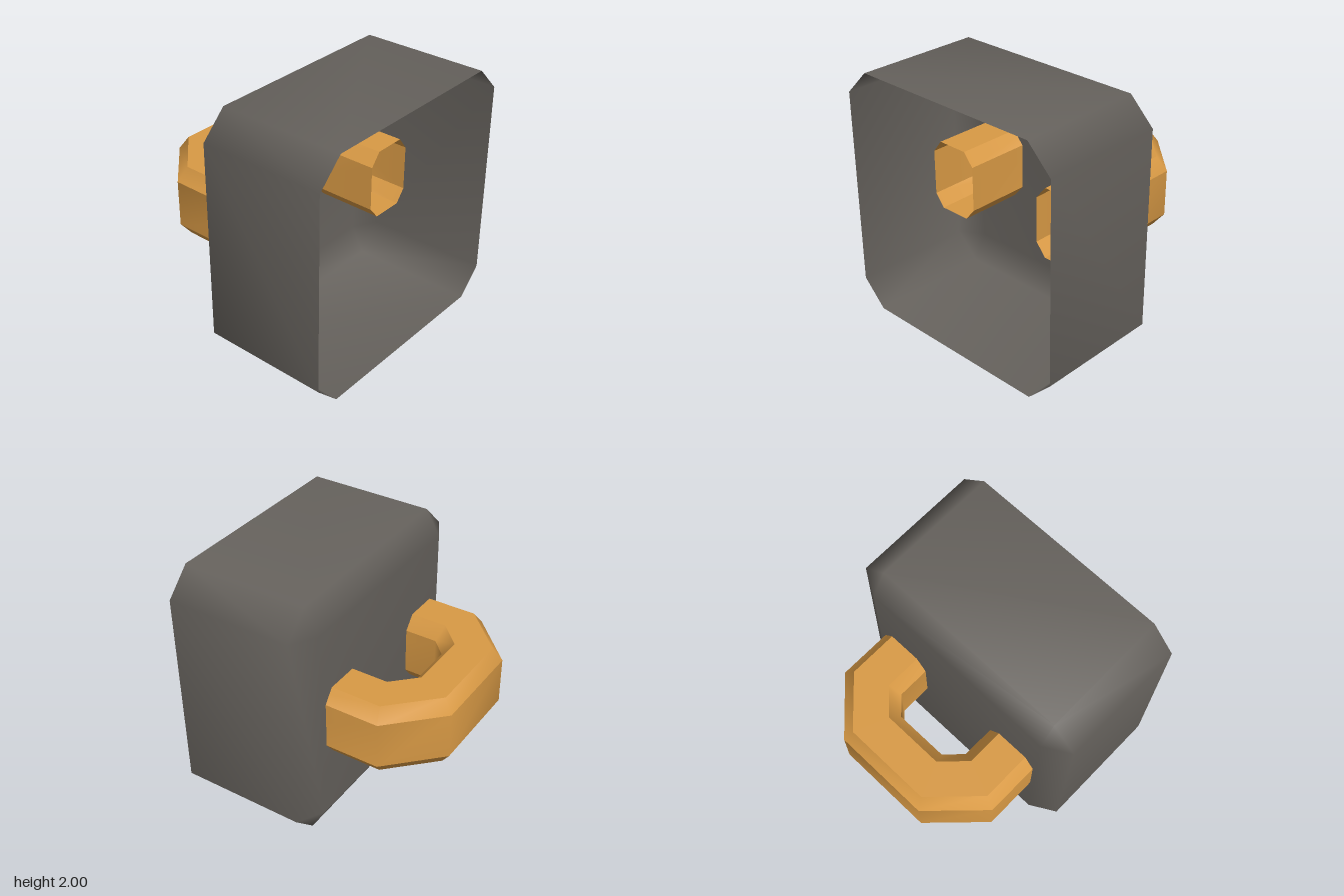
import * as THREE from 'three';
import { mergeVertices } from 'three/addons/utils/BufferGeometryUtils.js';

const iron = new THREE.MeshStandardMaterial({ color: 0x66625d, side: THREE.DoubleSide });
iron.name = 'dark grey';
const brass = new THREE.MeshStandardMaterial({ color: 0xd99a45, side: THREE.DoubleSide });
brass.name = 'golden orange';

function buildGeometry(points, index) {
  const g = new THREE.BufferGeometry();
  g.setAttribute('position', new THREE.Float32BufferAttribute(points.flat(), 3));
  g.setIndex(index);
  return g;
}

// Hollow housing: octagonal wall, chamfered towards a square back, open at +x
function createHousing() {
  const octagon = [[1, -0.8], [1, 0.8], [0.8, 1], [-0.8, 1], [-1, 0.8], [-1, -0.8], [-0.8, -1], [0.8, -1]];
  const rings = [[-0.165, 0.8], [-0.05, 1], [0.96, 1]]; // x, largest half size
  const points = [], index = [];
  for (const [x, limit] of rings) {
    for (const [y, z] of octagon) {
      points.push([x, 1 + THREE.MathUtils.clamp(y, -limit, limit), THREE.MathUtils.clamp(z, -limit, limit)]);
    }
  }
  for (let r = 0; r < 2; r++) {
    for (let i = 0; i < 8; i++) {
      const a = r * 8 + i, b = r * 8 + (i + 1) % 8;
      index.push(a, b, b + 8, a, b + 8, a + 8);
    }
  }
  index.push(0, 3, 1, 0, 5, 3); // square back
  const g = mergeVertices(buildGeometry(points, index));
  g.computeVertexNormals();
  const mesh = new THREE.Mesh(g, iron);
  mesh.name = 'housing';
  return mesh;
}

// Angular loop: an eight-sided open tube, each long facet its own smooth strip
function createLoop() {
  const endX = 0.375, centreZ = 0.0125;
  // for each line along the loop: first bend x, z and second bend x, z
  const outer = [-0.59, 0.76, -0.96, 0.385];
  const outerRim = [-0.56, 0.68, -0.89, 0.35];
  const innerRim = [-0.455, 0.418, -0.63, 0.243];
  const inner = [-0.42, 0.333, -0.545, 0.21];
  const section = [
    [outer, 0.82], [outer, 1.19], [outerRim, 1.295], [innerRim, 1.295],
    [inner, 1.19], [inner, 0.82], [innerRim, 0.718], [outerRim, 0.718],
  ];
  const line = ([[x1, z1, x2, z2], y]) =>
    [[endX, -z1], [x1, -z1], [x2, -z2], [x2, z2], [x1, z1], [endX, z1]]
      .map(([x, z]) => [x, y, z + centreZ]);

  const loop = new THREE.Group();
  loop.name = 'loop';
  section.forEach((corner, k) => {
    const points = [...line(corner), ...line(section[(k + 1) % 8])];
    const index = [];
    for (let s = 0; s < 5; s++) index.push(s, s + 1, s + 7, s, s + 7, s + 6);
    const g = buildGeometry(points, index);
    g.computeVertexNormals();
    const facet = new THREE.Mesh(g, brass);
    facet.name = 'loopFacet';
    loop.add(facet);
  });
  return loop;
}

export function createModel() {
  const model = new THREE.Group();
  model.name = 'housingWithLoop';
  model.add(createHousing(), createLoop());
  return model;
}
